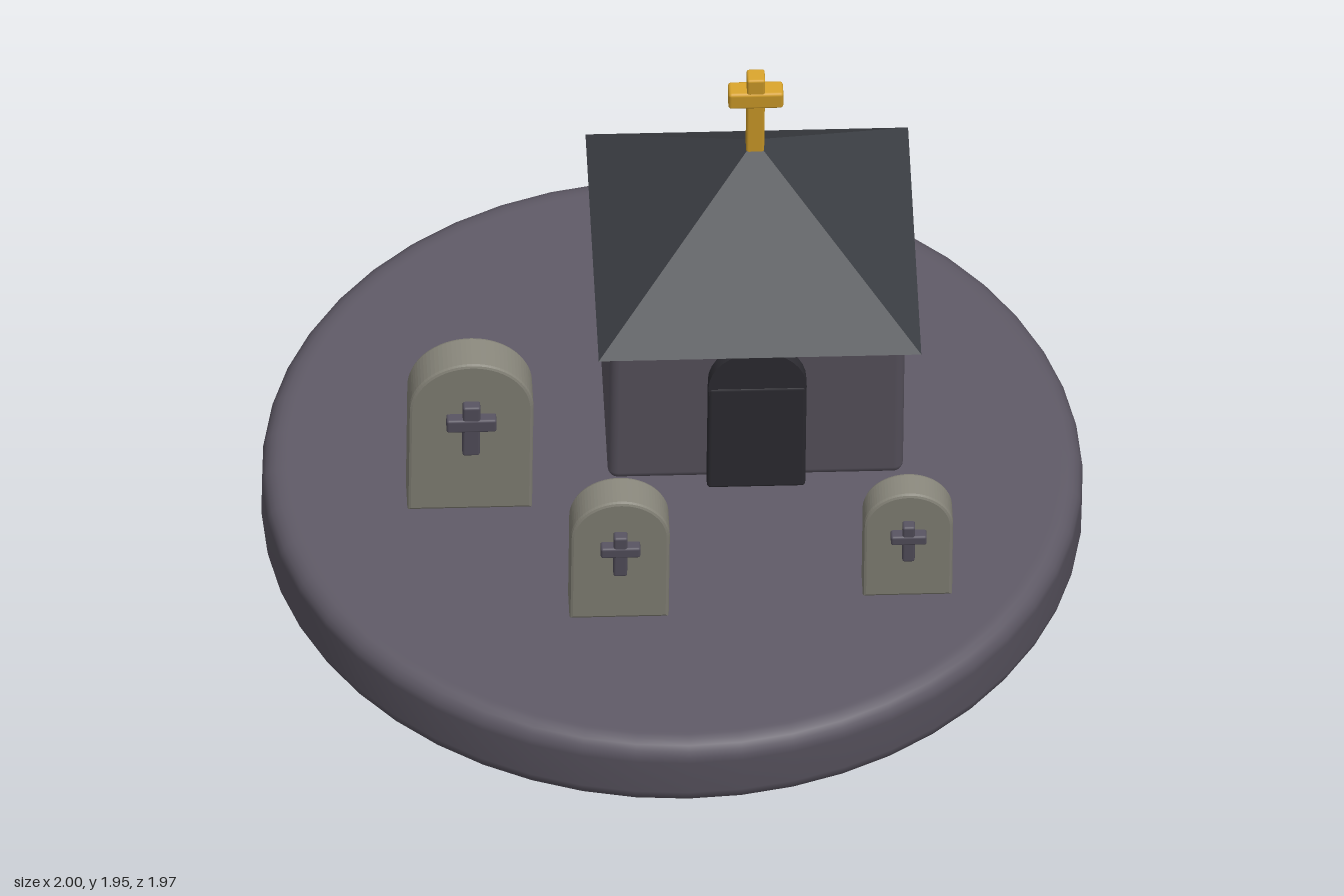
import * as THREE from 'three';
import { RoundedBoxGeometry } from 'three/addons/geometries/RoundedBoxGeometry.js';

const mat = (name, color) => {
  const m = new THREE.MeshStandardMaterial({ color });
  m.name = name;
  return m;
};

export function createModel() {
  const ground = mat('dusky ground', 0x5c5763);
  const wall = mat('dusky wall', 0x5a5560);
  const rock = mat('dark rock', 0x2a2a2d);
  const slate = mat('slate roof', 0x3c3f44);
  const doorDark = mat('dark door', 0x2e2d33);
  const stone = mat('grey stone', 0x87857a);
  const iron = mat('stone cross', 0x55515e);
  const gold = mat('gold', 0xd4a02a);

  const model = new THREE.Group();
  model.name = 'floatingGraveyard';
  // The whole island leans towards the front
  const island = new THREE.Group();
  island.name = 'island';
  island.position.y = 0.713;
  island.rotation.x = 0.25;
  model.add(island);

  const add = (parent, name, geometry, material, x = 0, y = 0, z = 0) => {
    const mesh = new THREE.Mesh(geometry, material);
    mesh.name = name;
    mesh.position.set(x, y, z);
    parent.add(mesh);
    return mesh;
  };
  const box = (w, h, d, r) => new RoundedBoxGeometry(w, h, d, 3, r);

  // Ground disc with a rounded rim
  const rim = 0.05;
  const profile = [new THREE.Vector2(0, -0.1), new THREE.Vector2(0.94, -0.1)];
  for (const [cy, start] of [[-0.1 + rim, -Math.PI / 2], [0.1 - rim, 0]]) {
    for (let i = 0; i <= 5; i++) {
      const a = start + (i / 5) * Math.PI / 2;
      profile.push(new THREE.Vector2(1 - rim + rim * Math.cos(a), cy + rim * Math.sin(a)));
    }
  }
  profile.push(new THREE.Vector2(0.94, 0.1), new THREE.Vector2(0, 0.1));
  add(island, 'groundDisc', new THREE.LatheGeometry(profile, 48), ground);

  // Rock underside
  add(island, 'rockBase', new THREE.CylinderGeometry(0.945, 0.33, 0.56, 48), rock, 0, -0.375, 0);

  // Chapel
  const chapel = new THREE.Group();
  chapel.name = 'chapel';
  chapel.position.set(0.2, 0.1, -0.2);
  island.add(chapel);
  add(chapel, 'walls', box(0.72, 0.54, 0.53, 0.025), wall, 0, 0.268, 0);
  const roofShape = new THREE.ConeGeometry(0.556, 0.36, 4, 1).rotateY(Math.PI / 4).toNonIndexed();
  roofShape.computeVertexNormals();
  add(chapel, 'roof', roofShape, slate, 0, 0.715, 0);
  add(chapel, 'door', box(0.24, 0.34, 0.08, 0.01), doorDark, 0, 0.168, 0.26);
  add(chapel, 'doorArch', new THREE.CylinderGeometry(0.12, 0.12, 0.075, 32).rotateX(Math.PI / 2),
    doorDark, 0, 0.338, 0.26);

  // Roof cross
  const roofCross = new THREE.Group();
  roofCross.name = 'roofCross';
  chapel.add(roofCross);
  add(roofCross, 'crossPost', box(0.044, 0.26, 0.044, 0.006), gold, 0, 0.986, 0);
  add(roofCross, 'crossBar', box(0.134, 0.05, 0.05, 0.008), gold, 0, 1.047, 0);

  // Arched gravestones: centre x, radius, arch centre height, back z, front z
  const stones = [
    [-0.5, 0.152, 0.335, 0.05, 0.152],
    [-0.152, 0.121, 0.268, 0.445, 0.54],
    [0.553, 0.109, 0.232, 0.405, 0.485],
  ];
  const bevel = 0.008;
  for (const [x, r, archY, back, front] of stones) {
    const grave = new THREE.Group();
    grave.name = 'gravestone';
    grave.position.set(x, 0.1, (back + front) / 2);
    island.add(grave);
    const inner = r - bevel;
    const outline = new THREE.Shape();
    outline.moveTo(-inner, bevel - 0.002);
    outline.lineTo(inner, bevel - 0.002);
    outline.lineTo(inner, archY);
    outline.absarc(0, archY, inner, 0, Math.PI, false);
    outline.closePath();
    const depth = front - back - 2 * bevel;
    const slab = new THREE.ExtrudeGeometry(outline, {
      depth, bevelEnabled: true, bevelSize: bevel, bevelThickness: bevel, bevelSegments: 2, curveSegments: 20,
    });
    add(grave, 'slab', slab.translate(0, 0, -depth / 2), stone);
    // Raised cross on the face
    const face = (front - back) / 2 + 0.005;
    add(grave, 'crossPost', box(0.28 * r, 1.07 * r, 0.04, 0.006), iron, 0, archY - 0.33 * r, face);
    add(grave, 'crossBar', box(0.8 * r, 0.26 * r, 0.044, 0.006), iron, 0, archY - 0.2 * r, face);
  }
  return model;
}
